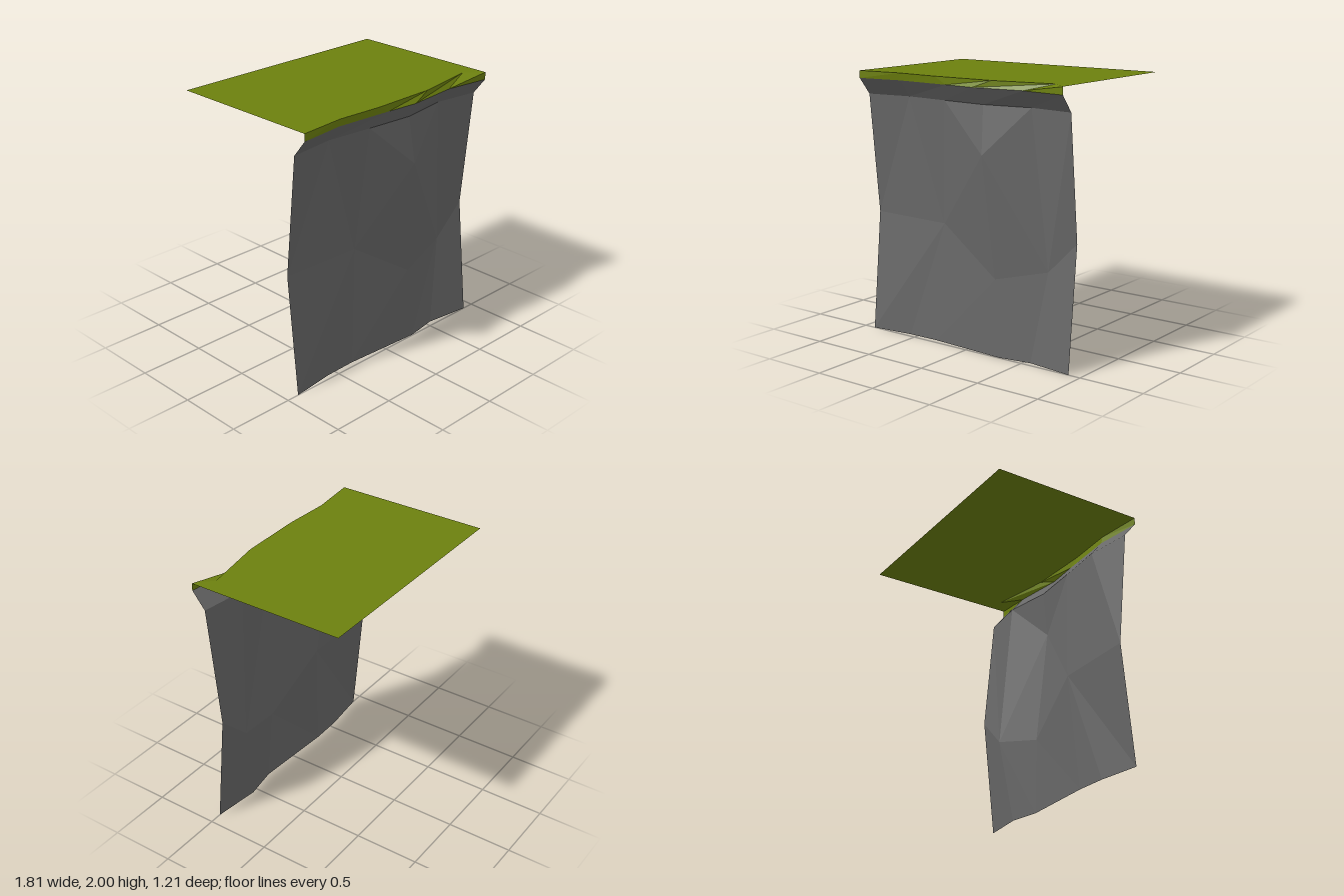
import * as THREE from 'three';

const material = (name, color) => {
  const m = new THREE.MeshStandardMaterial({ color, side: THREE.DoubleSide, flatShading: true });
  m.name = name;
  return m;
};

// Faceted surface from lists of corner points (counter-clockwise from the front)
function facets(name, faces, mat) {
  const pos = [];
  for (const f of faces)
    for (let i = 1; i < f.length - 1; i++) pos.push(...f[0], ...f[i], ...f[i + 1]);
  const geo = new THREE.BufferGeometry();
  geo.setAttribute('position', new THREE.Float32BufferAttribute(pos, 3));
  geo.computeVertexNormals();
  const mesh = new THREE.Mesh(geo, mat);
  mesh.name = name;
  return mesh;
}

// A row of points at one height, from [x, z] pairs
const row = (y, pts) => pts.map(([x, z]) => [x, y, z]);

// Band of quads between two rows
const band = (lo, hi) => lo.slice(1).map((p, i) => [lo[i], p, hi[i + 1], hi[i]]);

export function createModel() {
  const group = new THREE.Group();
  group.name = 'cliffTile';
  const rock = material('rock grey', 0x686868);
  const grass = material('grass green', 0x6c800e);

  // Horizontal rows of the cliff, from the foot to the grass edge
  const B = row(0, [[-0.905, 0.5], [-0.57, 0.46], [-0.32, 0.455], [0.3, 0.495], [0.55, 0.455], [0.905, 0.5]]);
  const T = row(1.82, [[-0.905, 0.5], [-0.55, 0.455], [-0.19, 0.487], [0.18, 0.515], [0.55, 0.455], [0.905, 0.5]]);
  const L = row(1.945, [[-0.905, 0.6], [-0.55, 0.555], [-0.1, 0.582], [0.15, 0.603], [0.55, 0.558], [0.905, 0.6]]);
  const E = row(2, [[-0.905, 0.6], [-0.55, 0.565], [-0.2, 0.585], [0.3, 0.575], [0.78, 0.49], [0.905, 0.6]]);

  // Irregular points in the middle of the rock face
  const m0 = [-0.905, 0.91, 0.41], m1 = [-0.26, 0.9, 0.415], m2 = [0.25, 0.57, 0.475];
  const m3 = [0.66, 0.67, 0.4], m4 = [0.905, 0.91, 0.41], peak = [0.2, 1.47, 0.56];

  // Rock face
  group.add(facets('rockFace', [
    [B[0], m1, m0], [B[0], B[1], m1], [B[1], B[2], m1],
    [B[2], m2, m1], [B[2], B[3], m2],
    [B[3], m3, m2], [B[3], B[4], m3],
    [B[4], B[5], m3], [B[5], m4, m3],
    [m0, m1, T[1]], [m0, T[1], T[0]],
    [m1, T[2], T[1]], [m1, peak, T[2]], [peak, T[3], T[2]],
    [m1, m2, peak], [m2, m3, peak],
    [peak, m3, T[4]], [peak, T[4], T[3]],
    [m3, m4, T[5]], [m3, T[5], T[4]],
  ], rock));

  // Overhang under the grass
  group.add(facets('rockOverhang', band(T, L), rock));

  // Grass lip
  group.add(facets('grassLip', band(L, E), grass));

  // Flat grass top with the uneven front edge
  const shape = new THREE.Shape(E.map(([x, , z]) => new THREE.Vector2(x, -z)));
  shape.lineTo(0.905, 0.605);
  shape.lineTo(-0.905, 0.605);
  const top = new THREE.Mesh(new THREE.ShapeGeometry(shape).rotateX(-Math.PI / 2), grass);
  top.position.y = 2;
  top.name = 'grassTop';
  group.add(top);

  return group;
}
